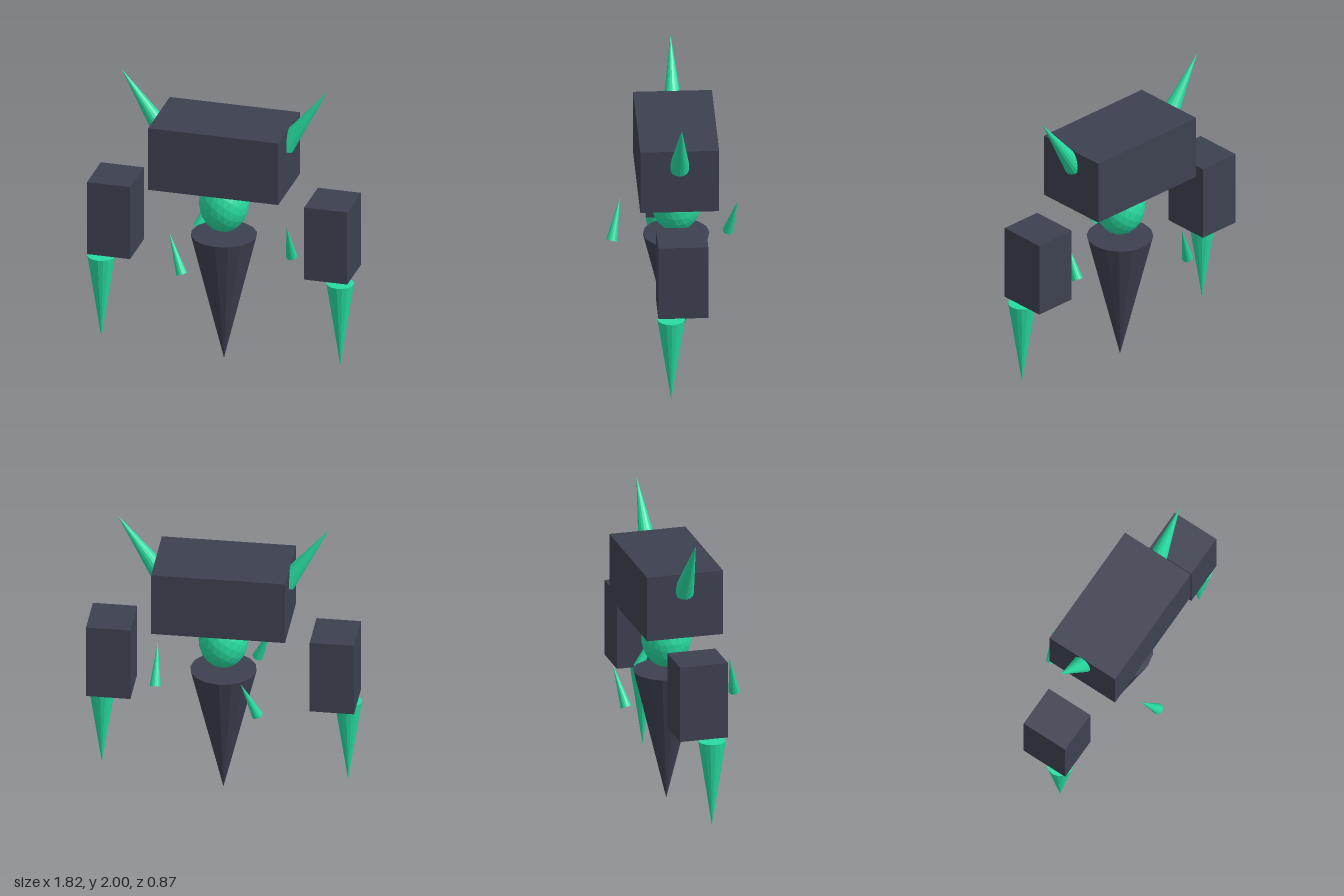
import * as THREE from 'three';

const Z = -0.018; // depth of the main axis
const UP = new THREE.Vector3(0, 1, 0);

export function createModel() {
  const model = new THREE.Group();
  model.name = 'floatingGolem';

  const slate = new THREE.MeshStandardMaterial({ color: 0x3d4150, flatShading: true });
  slate.name = 'dark slate';
  const jade = new THREE.MeshStandardMaterial({ color: 0x27dca0, flatShading: true });
  jade.name = 'jade green';

  const add = (name, geometry, material, x, y, z) => {
    const mesh = new THREE.Mesh(geometry, material);
    mesh.name = name;
    mesh.position.set(x, y, z);
    model.add(mesh);
    return mesh;
  };

  // Closed cone from the centre of its base to its tip
  const spike = (name, material, radius, base, tip) => {
    const from = new THREE.Vector3(...base);
    const axis = new THREE.Vector3(...tip).sub(from);
    const mid = from.clone().addScaledVector(axis, 0.5);
    const mesh = add(name, new THREE.ConeGeometry(radius, axis.length(), 16), material, mid.x, mid.y, mid.z);
    mesh.quaternion.setFromUnitVectors(UP, axis.normalize());
  };

  // Central column: pointed body, egg-shaped core, block head
  spike('body', slate, 0.22, [0, 0.895, Z], [0, 0, Z]);
  add('core', new THREE.IcosahedronGeometry(1, 3), jade, 0, 1.12, Z).scale.set(0.165, 0.2, 0.165);
  add('head', new THREE.BoxGeometry(0.89, 0.445, 0.52), slate, 0, 1.493, Z);

  // Mirrored horns, arms and claws
  for (const [side, s] of [['left', 1], ['right', -1]]) {
    spike(side + 'Horn', jade, 0.068, [s * 0.415, 1.583, Z], [s * 0.702, 2, Z]);
    add(side + 'Arm', new THREE.BoxGeometry(0.295, 0.52, 0.33), slate, s * 0.743, 0.97, Z);
    spike(side + 'Claw', jade, 0.092, [s * 0.818, 0.672, 0.058], [s * 0.818, 0.08, 0.058]);
  }

  // Three shards circling the body, each leaning along the ring
  for (let i = 0; i < 3; i++) {
    const a = (i * Math.PI * 2) / 3;
    const c = Math.cos(a), s = Math.sin(a);
    const at = (lean, y) => [0.445 * c - lean * s, y, Z + 0.445 * s + lean * c];
    spike('shard' + (i + 1), jade, 0.037, at(-0.06, 0.763), at(0.06, 1.028));
  }

  return model;
}
